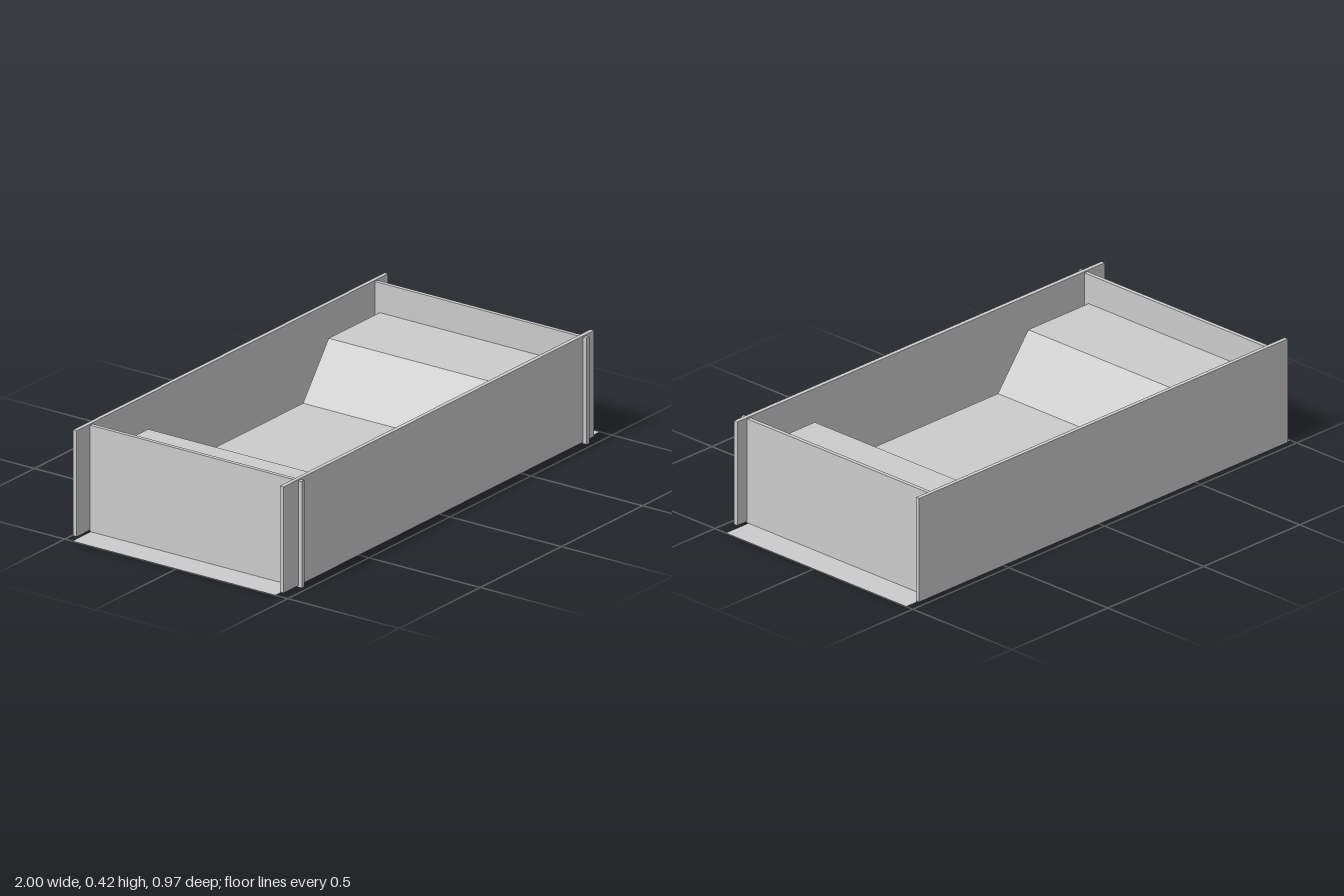
import * as THREE from 'three';

export function createModel() {
  const model = new THREE.Group();
  const solid = new THREE.MeshStandardMaterial({ color: 0xcccccc, flatShading: true });
  const sheet = new THREE.MeshStandardMaterial({ color: 0xcccccc, flatShading: true, side: THREE.DoubleSide });

  const add = (name, geometry, material) => {
    const mesh = new THREE.Mesh(geometry, material);
    mesh.name = name;
    model.add(mesh);
  };

  // Upright board given by its extents on each axis
  const board = (name, [x0, x1], [y0, y1], [z0, z1]) => {
    const geometry = new THREE.BoxGeometry(x1 - x0, y1 - y0, z1 - z0);
    geometry.translate((x0 + x1) / 2, (y0 + y1) / 2, (z0 + z1) / 2);
    add(name, geometry, solid);
  };

  // Thin horizontal sheet following an (x, y) profile, spanning z0 to z1
  const foldedSheet = (name, profile, z0, z1) => {
    const positions = [];
    const index = [];
    profile.forEach(([x, y], i) => {
      positions.push(x, y, z0, x, y, z1);
      if (i > 0) {
        const a = 2 * (i - 1);
        index.push(a, a + 1, a + 2, a + 2, a + 1, a + 3);
      }
    });
    const geometry = new THREE.BufferGeometry();
    geometry.setAttribute('position', new THREE.Float32BufferAttribute(positions, 3));
    geometry.setIndex(index);
    const flat = geometry.toNonIndexed();
    flat.computeVertexNormals();
    add(name, flat, sheet);
  };

  // Floor sheet, projecting past both ends
  foldedSheet('floor', [[-1, 0], [1, 0]], -0.467, 0.445);

  // Long side boards, slightly offset from each other
  board('frontBoard', [-0.978, 0.936], [0.007, 0.421], [0.449, 0.466]);
  board('backBoard', [-0.97, 0.95], [0.007, 0.421], [-0.484, -0.468]);

  // End boards, poking past the front board
  board('rightEndBoard', [-0.888, -0.872], [0.001, 0.416], [-0.468, 0.482]);
  board('leftEndBoard', [0.868, 0.884], [0.001, 0.416], [-0.468, 0.482]);

  // Folded inner tray: raised ends, sloping down to a low middle
  foldedSheet('innerTray', [
    [-0.872, 0.30], [-0.558, 0.30], [-0.4, 0.097],
    [0.396, 0.097], [0.554, 0.30], [0.868, 0.30],
  ], -0.447, 0.428);

  return model;
}
